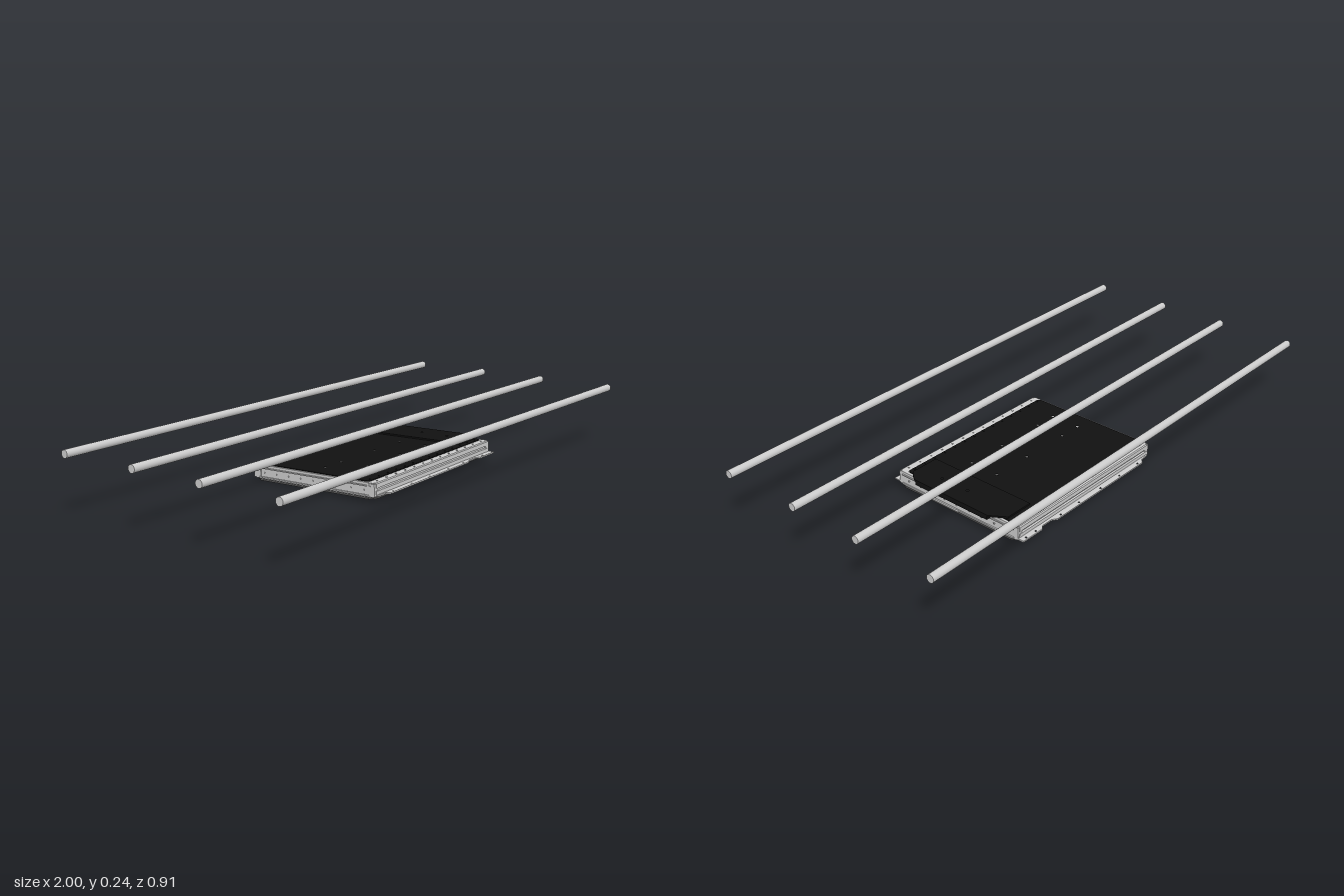
import * as THREE from 'three';

const grey = new THREE.MeshStandardMaterial({ color: 0xcccccc });
const black = new THREE.MeshStandardMaterial({ color: 0x111111 });
const dark = new THREE.MeshStandardMaterial({ color: 0x555555 });

function add(parent, name, geometry, material, x = 0, y = 0, z = 0) {
  const mesh = new THREE.Mesh(geometry, material);
  mesh.name = name;
  mesh.position.set(x, y, z);
  parent.add(mesh);
  return mesh;
}

const box = (w, h, d) => new THREE.BoxGeometry(w, h, d);

// Horizontal plate from an (x, z) outline, lying on y = 0, with round holes
function plate(points, thickness, holes = []) {
  const shape = new THREE.Shape(points.map(([x, z]) => new THREE.Vector2(x, -z)));
  for (const [x, z, r] of holes) {
    shape.holes.push(new THREE.Path().absarc(x, -z, r, 0, Math.PI * 2, true));
  }
  const geo = new THREE.ExtrudeGeometry(shape, { depth: thickness, bevelEnabled: false, curveSegments: 6 });
  return geo.rotateX(-Math.PI / 2);
}

// Long side of the tray; z grows outward, built at +z and mirrored for -z
function buildSide(sign) {
  const side = new THREE.Group();
  side.name = sign > 0 ? 'frontSide' : 'backSide';

  // Stepped rail section swept along x
  const section = [
    [0.236, 0.006], [0.26, 0.006], [0.268, 0.014], [0.268, 0.029], [0.262, 0.031],
    [0.262, 0.037], [0.268, 0.039], [0.268, 0.054], [0.264, 0.057], [0.236, 0.057],
  ].map(([z, y]) => new THREE.Vector2(-z * sign, y));
  const rail = new THREE.ExtrudeGeometry(new THREE.Shape(section), { depth: 0.71, bevelEnabled: false });
  rail.rotateY(Math.PI / 2);
  add(side, 'sideRail', rail, grey, -0.355);

  // Mounting flange with tapered ends, a notch and bolt holes
  const outline = [
    [-0.355, 0.255], [-0.355, 0.272], [-0.315, 0.276], [-0.3, 0.29], [0.185, 0.29], [0.205, 0.278],
    [0.25, 0.278], [0.265, 0.29], [0.362, 0.29], [0.362, 0.255],
  ].map(([x, z]) => [x, z * sign]);
  const holes = [-0.28, -0.17, -0.06, 0.06, 0.16, 0.29, 0.34].map((x) => [x, 0.282 * sign, 0.003]);
  add(side, 'mountingFlange', plate(outline, 0.005, holes), grey, 0, 0.011);

  // Bolt heads on the rail top
  for (let i = 0; i < 13; i++) {
    add(side, 'railBolt', new THREE.CylinderGeometry(0.003, 0.003, 0.003, 8), grey,
      -0.33 + i * 0.055, 0.058, 0.252 * sign);
  }
  // Corner blocks
  for (const x of [-0.355, 0.352]) {
    add(side, 'cornerBlock', box(0.02, 0.044, 0.03), grey, x, 0.032, 0.251 * sign);
  }
  return side;
}

function buildTray() {
  const tray = new THREE.Group();
  tray.name = 'tray';

  const holes = [];
  for (const x of [-0.285, -0.195, 0.005, 0.165, 0.315]) {
    for (const z of [-0.005, 0.11]) holes.push([x, z, 0.005]);
  }

  // Floor with turned-up edges
  const floor = [[-0.365, -0.24], [-0.345, -0.262], [0.345, -0.262], [0.365, -0.24],
    [0.365, 0.24], [0.345, 0.262], [-0.345, 0.262], [-0.365, 0.24]];
  add(tray, 'floorPlate', plate(floor, 0.007, holes), dark);

  tray.add(buildSide(1), buildSide(-1));

  // End walls with base lips and rows of bolts
  for (const s of [-1, 1]) {
    add(tray, 'endWall', box(0.012, 0.05, 0.52), grey, 0.356 * s, 0.032, 0);
    add(tray, 'endLip', box(0.01, 0.005, 0.5), grey, 0.362 * s, 0.012, 0);
    add(tray, 'endRib', box(0.008, 0.004, 0.5), grey, 0.363 * s, 0.046, 0);
    for (let i = 0; i < 9; i++) {
      const bolt = add(tray, 'endBolt', new THREE.CylinderGeometry(0.003, 0.003, 0.003, 8), grey,
        0.3635 * s, 0.03, -0.22 + i * 0.055);
      bolt.rotation.z = Math.PI / 2;
    }
  }

  // Cover panel and the raised strip overhanging the left end
  const cover = [[-0.355, -0.225], [-0.345, -0.236], [0.345, -0.236], [0.352, -0.225],
    [0.352, 0.225], [0.345, 0.236], [-0.345, 0.236], [-0.355, 0.225]];
  add(tray, 'cover', plate(cover, 0.008, holes), black, 0, 0.052);
  const raised = [[0.235, -0.21], [0.345, -0.21], [0.383, -0.155], [0.383, 0.175],
    [0.36, 0.205], [0.345, 0.215], [0.235, 0.215]];
  add(tray, 'raisedCover', plate(raised, 0.006, holes.filter((h) => h[0] > 0.3)), black, 0, 0.06);
  add(tray, 'coverLip', box(0.02, 0.014, 0.32), black, 0.372, 0.053, 0.01);

  // Fasteners around the cover edge
  for (let i = 0; i < 14; i++) {
    for (const z of [-0.226, 0.226]) {
      add(tray, 'coverBolt', new THREE.CylinderGeometry(0.003, 0.003, 0.003, 6), black,
        -0.335 + i * 0.051, 0.061, z);
    }
  }

  // Slight tilt of the whole tray
  tray.position.set(0.105, 0.01, -0.045);
  tray.rotation.set(-0.026, 0, 0.011);
  return tray;
}

export function createModel() {
  const model = new THREE.Group();
  model.name = 'trayUnderRods';

  // Four long parallel rods
  const rod = new THREE.CylinderGeometry(0.014, 0.014, 2, 32).rotateZ(Math.PI / 2);
  for (const z of [0.443, 0.14, -0.139, -0.442]) add(model, 'rod', rod, grey, 0, 0.222, z);

  model.add(buildTray());
  return model;
}
